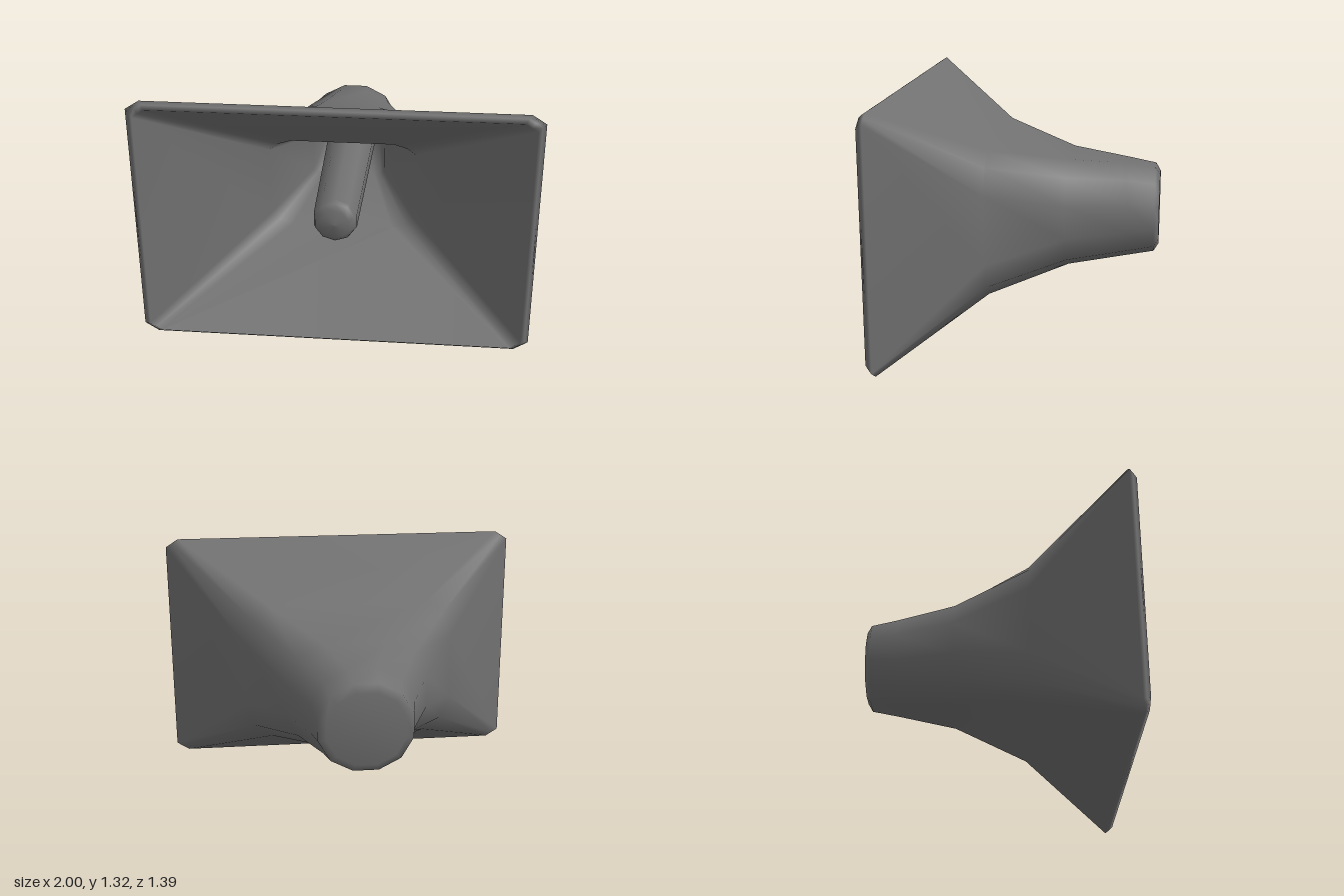
import * as THREE from 'three';

const CENTER_Y = 0.66;
const CORNER_STEPS = 2;
const material = new THREE.MeshStandardMaterial({ color: 0x707070 });

// Rectangle with cut corners; round blends each corner from chamfer (0) to arc (1)
function section([z, hx, hy, cutX, cutY, round]) {
  const points = [];
  for (let corner = 0; corner < 4; corner++) {
    const sx = corner === 0 || corner === 3 ? 1 : -1;
    const sy = corner < 2 ? 1 : -1;
    for (let i = 0; i <= CORNER_STEPS; i++) {
      const t = (sx * sy > 0 ? i : CORNER_STEPS - i) / CORNER_STEPS;
      const a = t * Math.PI / 2;
      const u = THREE.MathUtils.lerp(1 - t, Math.cos(a), round);
      const v = THREE.MathUtils.lerp(t, Math.sin(a), round);
      points.push([sx * (hx - cutX + cutX * u), sy * (hy - cutY + cutY * v), z]);
    }
  }
  return points;
}

// Skin a run of sections with smooth normals and close both ends with a fan
function loft(sections) {
  const n = 4 * (CORNER_STEPS + 1);
  const positions = [];
  const index = [];
  sections.forEach(s => positions.push(...section(s).flat()));
  for (let r = 0; r < sections.length - 1; r++) {
    for (let i = 0; i < n; i++) {
      const a = r * n + i, b = r * n + (i + 1) % n;
      index.push(a, b, b + n, a, b + n, a + n);
    }
  }
  const last = (sections.length - 1) * n;
  const first = positions.length / 3;
  positions.push(0, 0, sections[0][0], 0, 0, sections[sections.length - 1][0]);
  for (let i = 0; i < n; i++) {
    const j = (i + 1) % n;
    index.push(first, j, i, first + 1, last + i, last + j);
  }
  const geometry = new THREE.BufferGeometry();
  geometry.setAttribute('position', new THREE.Float32BufferAttribute(positions, 3));
  geometry.setIndex(index);
  geometry.computeVertexNormals();
  return geometry;
}

export function createModel() {
  const group = new THREE.Group();
  group.name = 'horn';

  // Thick flared shell: outside from back to mouth, over the lip, then inside to the throat
  // z, half width, half height, corner cut x, corner cut y, corner roundness
  const shell = new THREE.Mesh(loft([
    [-0.695, 0.20, 0.19, 0.146, 0.139, 0.7],
    [-0.67, 0.24, 0.23, 0.175, 0.168, 0.7],
    [-0.53, 0.265, 0.255, 0.19, 0.18, 0.75],
    [-0.22, 0.38, 0.288, 0.21, 0.20, 0.8],
    [0.17, 0.583, 0.383, 0.15, 0.20, 0.75],
    [0.655, 1.00, 0.658, 0.07, 0.045, 0],
    [0.675, 0.98, 0.645, 0.065, 0.042, 0],
    [0.695, 0.96, 0.627, 0.06, 0.04, 0],
    [0.17, 0.39, 0.25, 0.12, 0.06, 0.6],
    [-0.22, 0.20, 0.145, 0.05, 0.04, 0.5],
    [-0.50, 0.16, 0.135, 0.11, 0.09, 0.7],
  ]), material);
  shell.name = 'flaredShell';
  shell.position.y = CENTER_Y;
  group.add(shell);

  // Tapered central rod with a domed tip
  const profile = [[0.14, -0.52], [0.115, 0.55], [0.105, 0.58], [0.075, 0.605], [0, 0.615]]
    .map(([r, z]) => new THREE.Vector2(r, z));
  const rodGeometry = new THREE.LatheGeometry(profile, 10);
  rodGeometry.rotateX(Math.PI / 2);
  const rod = new THREE.Mesh(rodGeometry, material);
  rod.name = 'centralRod';
  rod.position.y = CENTER_Y;
  group.add(rod);

  return group;
}
